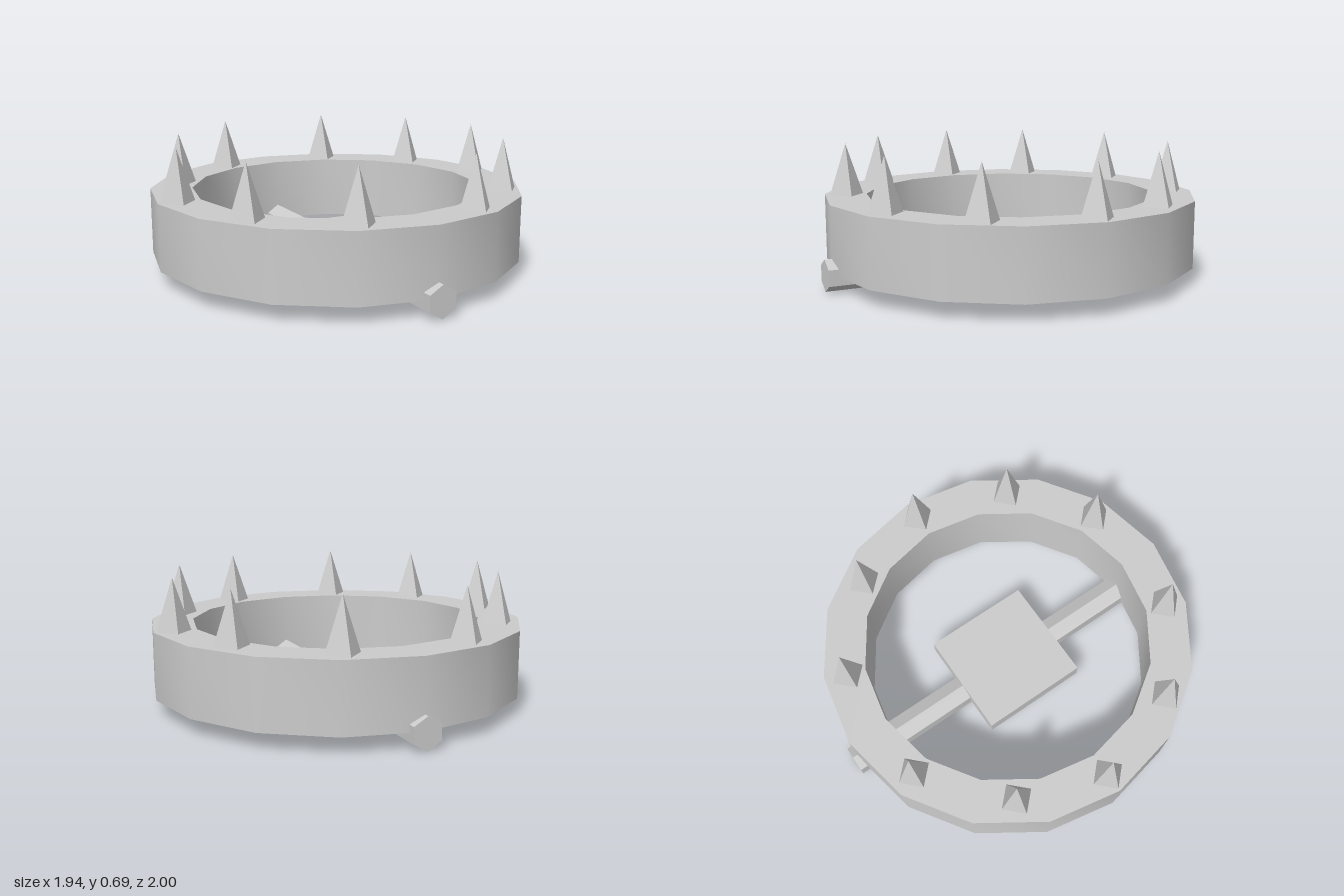
import * as THREE from 'three';
import { toCreasedNormals } from 'three/addons/utils/BufferGeometryUtils.js';

export function createModel() {
  const model = new THREE.Group();
  const smooth = new THREE.MeshStandardMaterial({ color: 0xcccccc });
  const faceted = new THREE.MeshStandardMaterial({ color: 0xcccccc, flatShading: true });

  function add(name, geometry, material, x, y, z) {
    const mesh = new THREE.Mesh(geometry, material);
    mesh.name = name;
    mesh.position.set(x, y, z);
    model.add(mesh);
    return mesh;
  }

  // Sixteen-sided jaw ring with a rectangular section
  const section = [[0.968, 0.083], [0.968, 0.425], [0.752, 0.425], [0.752, 0.083], [0.968, 0.083]]
    .map(([r, y]) => new THREE.Vector2(r, y));
  const ring = toCreasedNormals(new THREE.LatheGeometry(section, 16), 0.5);
  add('jawRing', ring, smooth, 0, 0, -0.004);

  // Hexagonal bar running front to back under the ring
  const bar = new THREE.CylinderGeometry(0.081, 0.081, 2, 6).rotateX(Math.PI / 2);
  add('baseBar', bar, faceted, 0, 0.081, 0);

  // Square trigger plate sitting on the bar
  add('triggerPlate', new THREE.BoxGeometry(0.565, 0.09, 0.57), faceted, 0.006, 0.121, -0.015);

  // Ten four-sided spikes, mirrored left and right
  const spike = new THREE.ConeGeometry(0.088, 0.265, 4);
  const spots = [[0.313, -0.787], [0.71, -0.445], [0.868, -0.004], [0.71, 0.485], [0.313, 0.79]];
  for (const [x, z] of spots) {
    add('leftSpike', spike, faceted, x, 0.5575, z);
    add('rightSpike', spike, faceted, -x, 0.5575, z);
  }
  return model;
}
